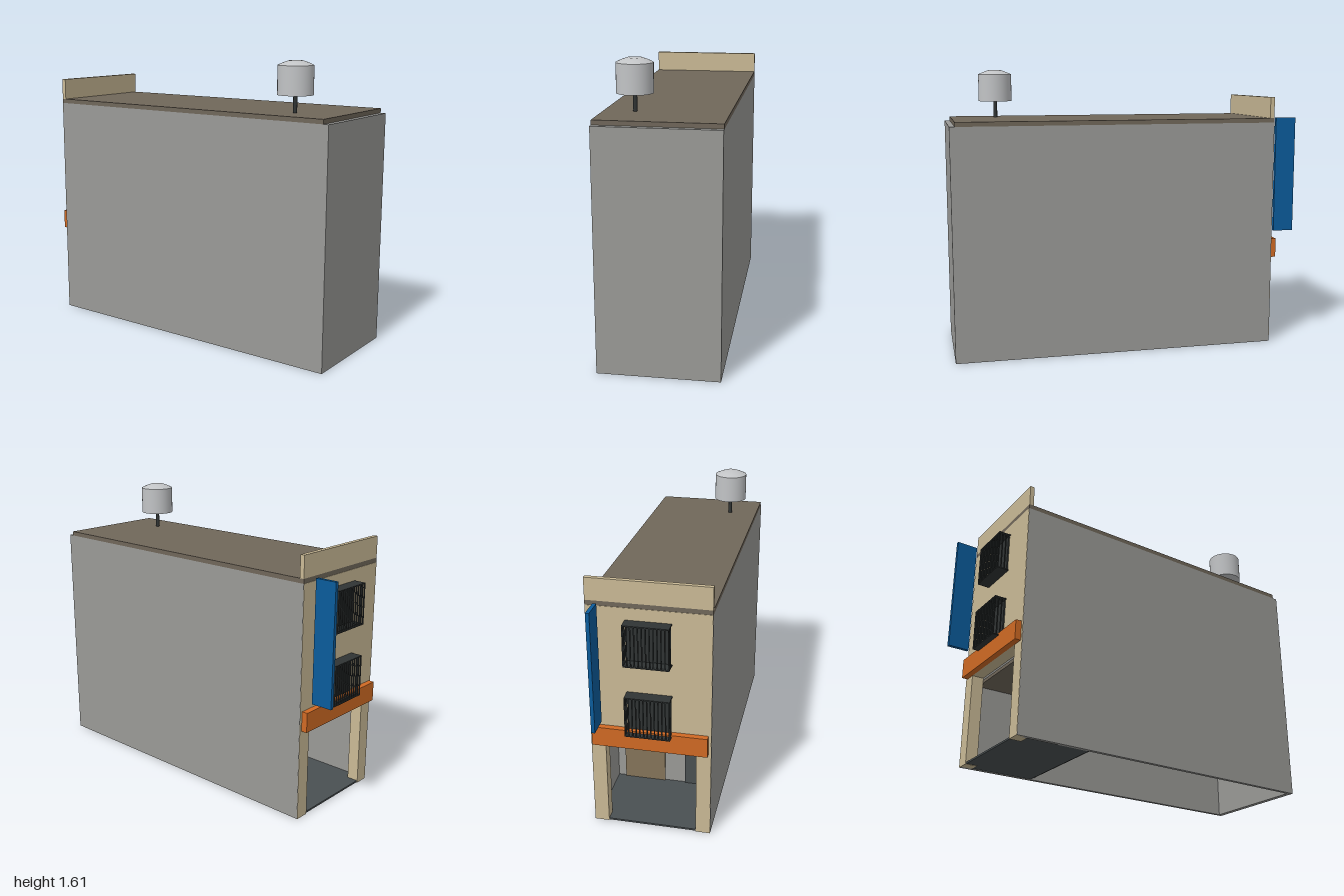
import * as THREE from 'three';

const mat = (name, color) => Object.assign(new THREE.MeshStandardMaterial({ color }), { name });

export function createModel() {
  const M = {
    wall: mat('grey plaster', 0x9a9a97),
    roof: mat('brown roof', 0x70675a),
    cream: mat('cream facade', 0xcaba96),
    orange: mat('orange awning', 0xd06a24),
    blue: mat('blue sign', 0x0b5c9c),
    tank: mat('light metal', 0xc2c4c6),
    dark: mat('dark iron', 0x303434),
    floor: mat('slate', 0x4a5052),
    wood: mat('wood', 0x85745a),
  };
  const model = new THREE.Group();
  model.name = 'narrowShopBuilding';

  // Box given by its lower and upper limits on each axis
  function box(name, m, [x0, x1], [y0, y1], [z0, z1], parent = model) {
    const mesh = new THREE.Mesh(new THREE.BoxGeometry(x1 - x0, y1 - y0, z1 - z0), m);
    mesh.position.set((x0 + x1) / 2, (y0 + y1) / 2, (z0 + z1) / 2);
    mesh.name = name;
    parent.add(mesh);
    return mesh;
  }

  // Hollow shell, open underneath
  const H = 1.305;
  box('leftWall', M.wall, [0.305, 0.325], [0, H], [-0.845, 1]);
  box('rightWall', M.wall, [-0.325, -0.305], [0, H], [-0.845, 1]);
  box('plainEndWall', M.wall, [-0.305, 0.305], [0, H], [0.97, 1]);
  box('roofSlab', M.roof, [-0.325, 0.325], [H, 1.33], [-0.845, 0.97]);
  box('parapet', M.cream, [-0.325, 0.325], [1.33, 1.45], [-0.845, -0.82]);

  // Facade with the shop opening cut out
  const outline = new THREE.Shape();
  [[-0.324, 0], [-0.245, 0], [-0.245, 0.51], [0.245, 0.51], [0.245, 0], [0.324, 0], [0.324, H], [-0.324, H]]
    .forEach(([x, y], i) => (i ? outline.lineTo(x, y) : outline.moveTo(x, y)));
  const facade = new THREE.Mesh(
    new THREE.ExtrudeGeometry(outline, { depth: 0.067, bevelEnabled: false }), M.cream);
  facade.position.z = -0.847;
  facade.name = 'facade';
  model.add(facade);
  box('awningBand', M.orange, [-0.31, 0.31], [0.51, 0.62], [-0.88, -0.847]);

  // Shop room
  const room = new THREE.Group();
  room.name = 'shopRoom';
  model.add(room);
  box('shopFloor', M.floor, [-0.305, 0.305], [0.002, 0.012], [-0.843, -0.42], room);
  box('shopCeiling', M.roof, [-0.305, 0.305], [0.48, 0.5], [-0.78, -0.42], room);
  box('shopRearWall', M.wall, [-0.305, 0.305], [0.012, 0.48], [-0.42, -0.4], room);
  box('woodPanel', M.wood, [0.02, 0.26], [0.012, 0.3], [-0.428, -0.42], room);
  box('rearDoor', M.floor, [-0.27, -0.1], [0.012, 0.42], [-0.428, -0.42], room);
  box('rearDoorBar', M.dark, [-0.27, -0.1], [0.37, 0.38], [-0.434, -0.428], room);

  // Caged windows
  for (const [name, y0, y1] of [['lowerWindow', 0.605, 0.835], ['upperWindow', 1.01, 1.24]]) {
    const g = new THREE.Group();
    g.name = name;
    model.add(g);
    box('pane', M.dark, [-0.11, 0.11], [y0 + 0.01, y1 - 0.01], [-0.855, -0.847], g);
    box('cageBottom', M.dark, [-0.12, 0.12], [y0, y0 + 0.006], [-0.915, -0.847], g);
    box('cageTop', M.dark, [-0.12, 0.12], [y1 - 0.006, y1], [-0.915, -0.847], g);
    const bar = (x, z) => box('bar', M.dark, [x - 0.003, x + 0.003], [y0, y1], [z - 0.003, z + 0.003], g);
    for (let i = 0; i <= 12; i++) bar(-0.117 + i * 0.0195, -0.912);
    for (const s of [-1, 1]) for (const z of [-0.873, -0.893]) bar(s * 0.117, z);
  }

  // Projecting blade sign
  box('bladeSign', M.blue, [0.252, 0.272], [0.66, 1.33], [-1, -0.88]);

  // Rooftop water tank on a post
  const tank = new THREE.Group();
  tank.name = 'waterTank';
  tank.position.set(-0.16, 1.33, 0.71);
  model.add(tank);
  const post = new THREE.Mesh(new THREE.CylinderGeometry(0.011, 0.011, 0.1, 12), M.dark);
  post.position.y = 0.05;
  post.name = 'tankPost';
  const drum = new THREE.Mesh(new THREE.CylinderGeometry(0.096, 0.096, 0.155, 32), M.tank);
  drum.position.y = 0.1725;
  drum.name = 'tankDrum';
  const lidProfile = [[0.096, 0.25], [0.07, 0.262], [0.04, 0.273], [0, 0.276]]
    .map(([r, y]) => new THREE.Vector2(r, y));
  const lid = new THREE.Mesh(new THREE.LatheGeometry(lidProfile, 32), M.tank);
  lid.name = 'tankLid';
  tank.add(post, drum, lid);

  return model;
}
